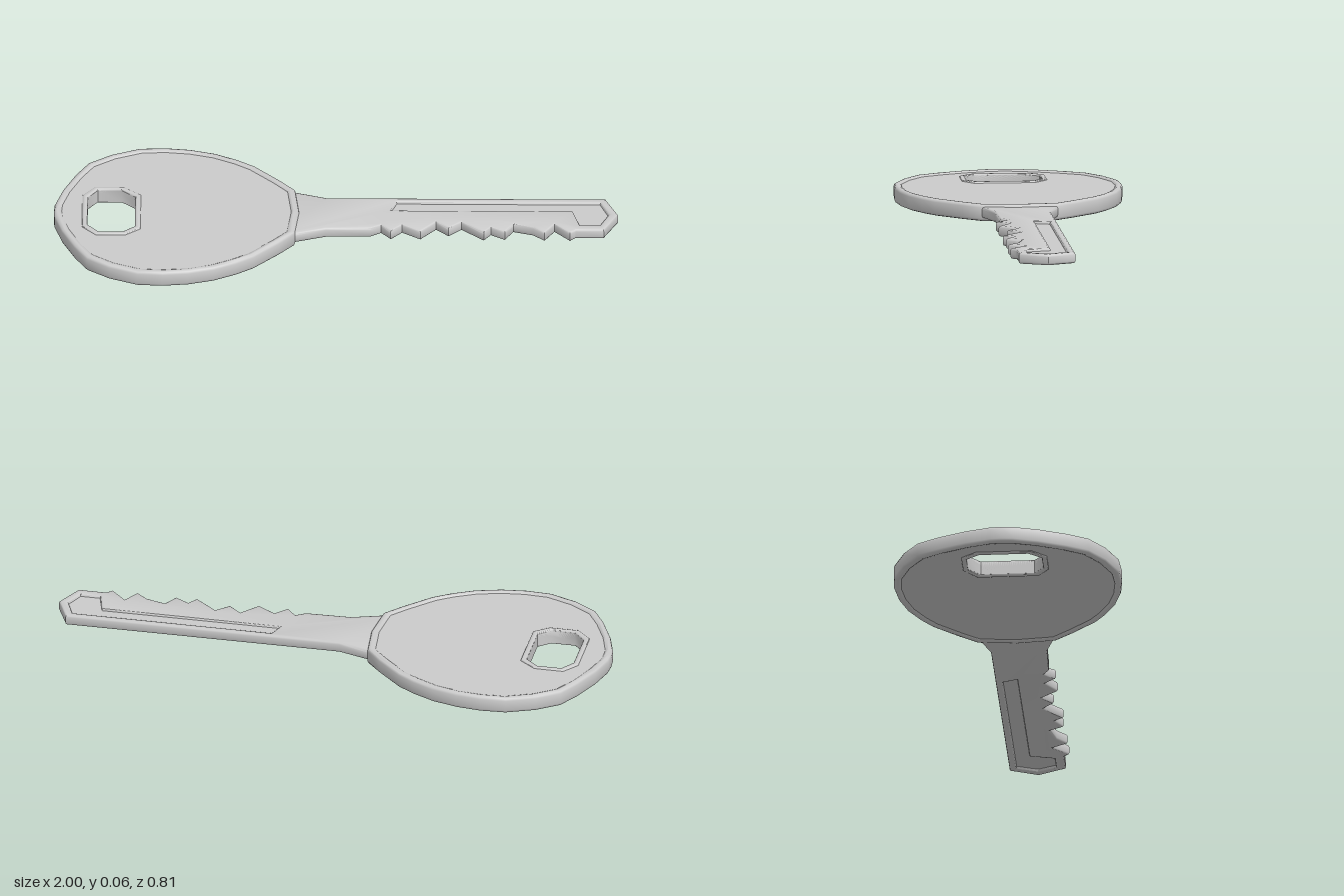
import * as THREE from 'three';
import { toCreasedNormals } from 'three/addons/utils/BufferGeometryUtils.js';

const material = new THREE.MeshStandardMaterial({ color: 0xcccccc });

// Outlines are lists of [x, z]; shapes are drawn with y = -z, counterclockwise, and laid flat afterwards.
function toPoints(outline) {
  const points = outline.map(([x, z]) => new THREE.Vector2(x, -z));
  return THREE.ShapeUtils.isClockWise(points) ? points.reverse() : points;
}

const scaleAbout = (outline, cx, sx, sz) =>
  outline.map(([x, z]) => [cx + (x - cx) * sx, z * sz]);

// Flat plate between heights y0 and y1, with optional hole and edge bevel
function plate(name, outline, hole, y0, y1, bevel = 0) {
  const shape = new THREE.Shape(toPoints(outline));
  if (hole) shape.holes.push(new THREE.Path(toPoints(hole).reverse()));
  const geometry = new THREE.ExtrudeGeometry(shape, {
    depth: y1 - y0 - 2 * bevel,
    bevelEnabled: bevel > 0,
    bevelThickness: bevel,
    bevelSize: bevel,
    bevelOffset: -bevel,
    bevelSegments: 2,
  });
  geometry.rotateX(-Math.PI / 2);
  geometry.translate(0, y0 + bevel, 0);
  const mesh = new THREE.Mesh(toCreasedNormals(geometry, 0.85), material);
  mesh.name = name;
  return mesh;
}

export function createModel() {
  const key = new THREE.Group();
  key.name = 'key';

  // Bow: half outline mirrored across z = 0
  const half = [
    [-0.997, -0.04], [-0.97, -0.13], [-0.925, -0.23], [-0.88, -0.305], [-0.8, -0.36],
    [-0.7, -0.4], [-0.61, -0.405], [-0.52, -0.395], [-0.43, -0.37], [-0.35, -0.33],
    [-0.29, -0.29], [-0.2, -0.2], [-0.145, -0.138],
  ];
  const mirrored = half.map(([x, z]) => [x, -z]).reverse();
  const bow = [[-1, 0], ...half, [-0.13, 0], ...mirrored];
  const bowInner = scaleAbout(bow, -0.57, 0.93, 0.93);

  // Slot for the key ring
  const slot = [
    [-0.88, -0.085], [-0.845, -0.132], [-0.76, -0.132], [-0.712, -0.09],
    [-0.712, 0.1], [-0.755, 0.135], [-0.84, 0.135], [-0.88, 0.09],
  ];
  const slotOuter = scaleAbout(slot, -0.797, 1.24, 1.14);

  const head = new THREE.Group();
  head.name = 'head';
  head.add(
    plate('headRim', bow, bowInner, 0, 0.06, 0.011),
    plate('headFace', scaleAbout(bow, -0.57, 0.96, 0.96), slot, 0.006, 0.054),
    plate('slotRim', slotOuter, slot, 0.001, 0.059, 0.006),
  );
  key.add(head);

  // Blade: neck, straight back, pointed tip and cut teeth
  const teeth = [
    [0.95, 0.1], [0.85, 0.1], [0.83, 0.12], [0.775, 0.062], [0.74, 0.12], [0.7, 0.085],
    [0.63, 0.064], [0.6, 0.115], [0.55, 0.085], [0.525, 0.12], [0.445, 0.052],
    [0.4, 0.094], [0.355, 0.052], [0.3, 0.115], [0.235, 0.072], [0.195, 0.115],
    [0.16, 0.074], [0.125, 0.096],
  ];
  const bladeOutline = [
    [-0.22, 0.15], [-0.22, -0.15], [-0.145, -0.135], [-0.035, -0.1], [0.955, -0.1], [1, 0],
    ...teeth, [-0.035, 0.1], [-0.145, 0.135],
  ];

  // Hooked groove sunk into both faces, closed by a thin web
  const groove = [
    [0.195, -0.022], [0.215, -0.074], [0.935, -0.074], [0.965, 0],
    [0.935, 0.066], [0.865, 0.066], [0.84, -0.022],
  ];
  const blade = new THREE.Group();
  blade.name = 'blade';
  blade.add(
    plate('bladeBody', bladeOutline, groove, 0.012, 0.051, 0.008),
    plate('grooveFloor', groove, null, 0.022, 0.041),
  );
  key.add(blade);
  return key;
}
